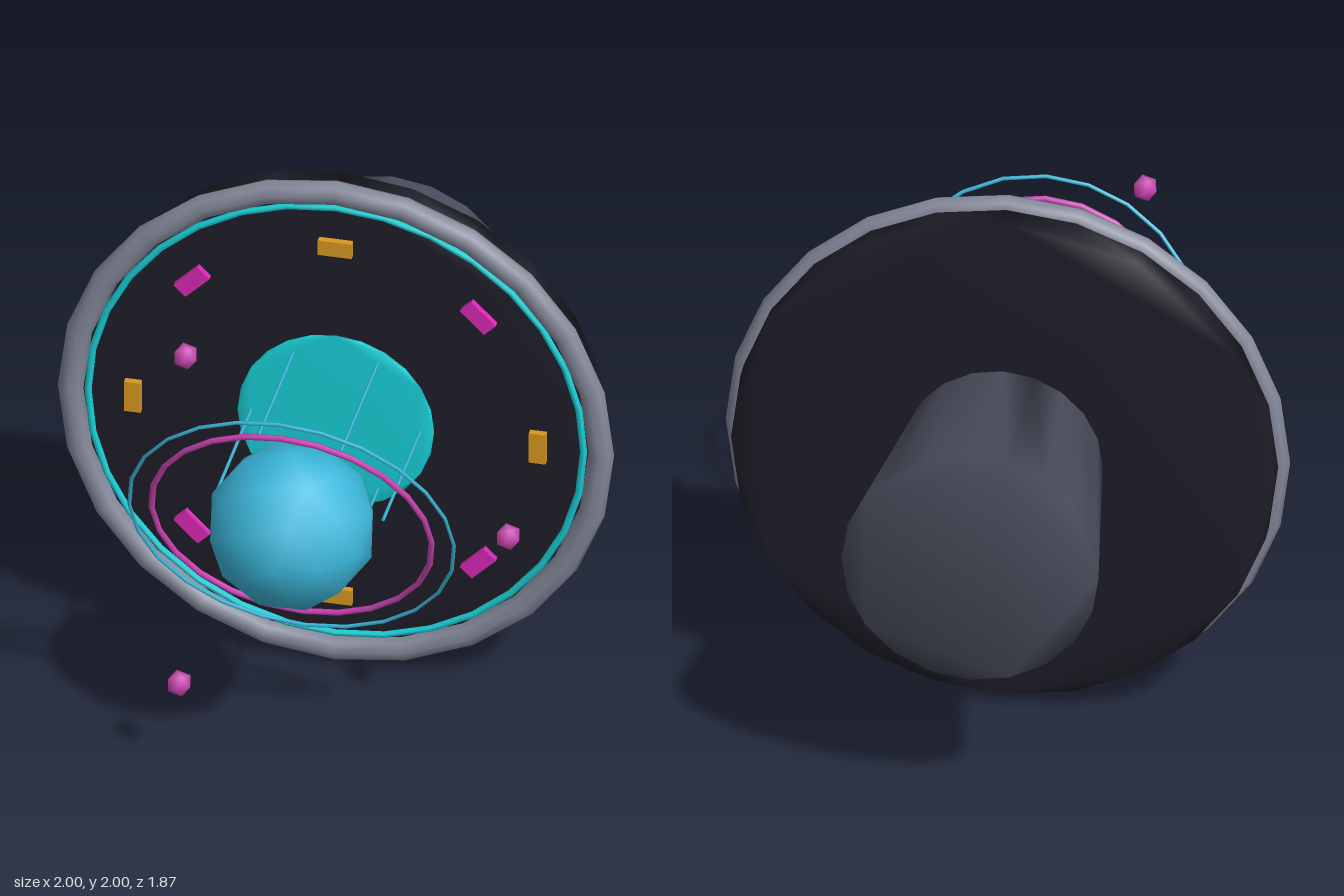
import * as THREE from 'three';
import { mergeVertices } from 'three/addons/utils/BufferGeometryUtils.js';

const mat = (name, color) => {
  const m = new THREE.MeshStandardMaterial({ color });
  m.name = name;
  return m;
};

// Share vertices so that shading runs smoothly over every edge
function soften(geo) {
  geo.deleteAttribute('normal');
  geo.deleteAttribute('uv');
  const g = mergeVertices(geo, 1e-4);
  g.computeVertexNormals();
  return g;
}

// Round plug along z from z0 (radius r0) to z1 (radius r1), softly shaded
function plug(z0, r0, z1, r1, sides) {
  const pts = [];
  for (let i = 0; i < sides; i++) {
    const a = (i / sides) * Math.PI * 2;
    pts.push(new THREE.Vector2(Math.cos(a), Math.sin(a)));
  }
  const geo = new THREE.ExtrudeGeometry(new THREE.Shape(pts), { depth: 1, steps: 1, bevelEnabled: false });
  const p = geo.attributes.position;
  for (let i = 0; i < p.count; i++) {
    const t = p.getZ(i);
    const r = r0 + (r1 - r0) * t;
    p.setXYZ(i, p.getX(i) * r, p.getY(i) * r, z0 + (z1 - z0) * t);
  }
  return soften(geo);
}

// Faceted ball with one corner pointing along z
function ball(radius, detail) {
  const geo = new THREE.IcosahedronGeometry(radius, detail);
  geo.rotateX(Math.atan(2 / (1 + Math.sqrt(5))));
  geo.rotateZ(Math.PI / 2);
  return soften(geo);
}

export function createModel() {
  const model = new THREE.Group();
  model.name = 'orbitPortal';

  const dark = mat('darkPlate', 0x1e1d28);
  const grey = mat('greyRim', 0x84899a);
  const slate = mat('slateHousing', 0x474b5a);
  const teal = mat('tealGlow', 0x18d0d8);
  const blue = mat('skyBlue', 0x3cb8dc);
  const pink = mat('pink', 0xcc44b4);
  const magenta = mat('magentaPanel', 0xd828b4);
  const amber = mat('amberPanel', 0xd89820);

  // Everything is arranged around the z axis at mid height
  const body = new THREE.Group();
  body.name = 'body';
  body.position.y = 1;
  model.add(body);

  const add = (name, geo, material, x = 0, y = 0, z = 0) => {
    const m = new THREE.Mesh(geo, material);
    m.name = name;
    m.position.set(x, y, z);
    body.add(m);
    return m;
  };

  // Plate with rim, inlaid ring, central portal and rear housing
  const FACE = -0.06;
  add('plate', plug(-0.175, 0.962, FACE, 0.962, 24), dark);
  add('rim', new THREE.TorusGeometry(0.953, 0.046, 8, 24), grey, 0, 0, -0.056).scale.z = 0.87;
  add('inlayRing', new THREE.TorusGeometry(0.89, 0.013, 6, 32), teal, 0, 0, FACE + 0.006);
  add('portal', plug(FACE - 0.02, 0.352, FACE + 0.012, 0.352, 24), teal);
  add('rearHousing', plug(-0.935, 0.455, -0.17, 0.352, 20), slate);

  // Eight panels around the plate, alternating in colour
  const panel = new THREE.BoxGeometry(0.06, 0.122, 0.03);
  for (let i = 0; i < 8; i++) {
    const a = (i * Math.PI) / 4;
    const isAmber = i % 2 === 0;
    add(isAmber ? 'amberPanel' : 'magentaPanel', panel, isAmber ? amber : magenta,
      0.727 * Math.cos(a), 0.727 * Math.sin(a), FACE + 0.01).rotation.z = a;
  }

  // Six thin rods reaching from the plate to the globe
  const rod = new THREE.CylinderGeometry(0.006, 0.006, 0.585, 6);
  rod.rotateX(Math.PI / 2);
  for (let i = 0; i < 6; i++) {
    const a = (i * Math.PI) / 3;
    add('rod', rod, blue, 0.304 * Math.cos(a), 0.304 * Math.sin(a), 0.2325);
  }

  // Globe with two tilted rings
  const Z = 0.632;
  add('globe', ball(0.301, 1), blue, 0, 0, Z);
  const tilt = THREE.MathUtils.degToRad(20);
  add('outerRing', new THREE.TorusGeometry(0.583, 0.007, 6, 24), blue, 0, 0.004, Z).rotation.x = tilt;
  add('innerRing', new THREE.TorusGeometry(0.503, 0.011, 6, 24), pink, 0, 0.004, Z).rotation.x = tilt;

  // Small moons
  const moon = ball(0.048, 0);
  for (const [x, y, z] of [[0.755, 0.002, 0.532], [-0.38, 0.656, 0.634], [-0.38, -0.652, 0.734]]) {
    add('moon', moon, pink, x, y, z);
  }

  return model;
}
